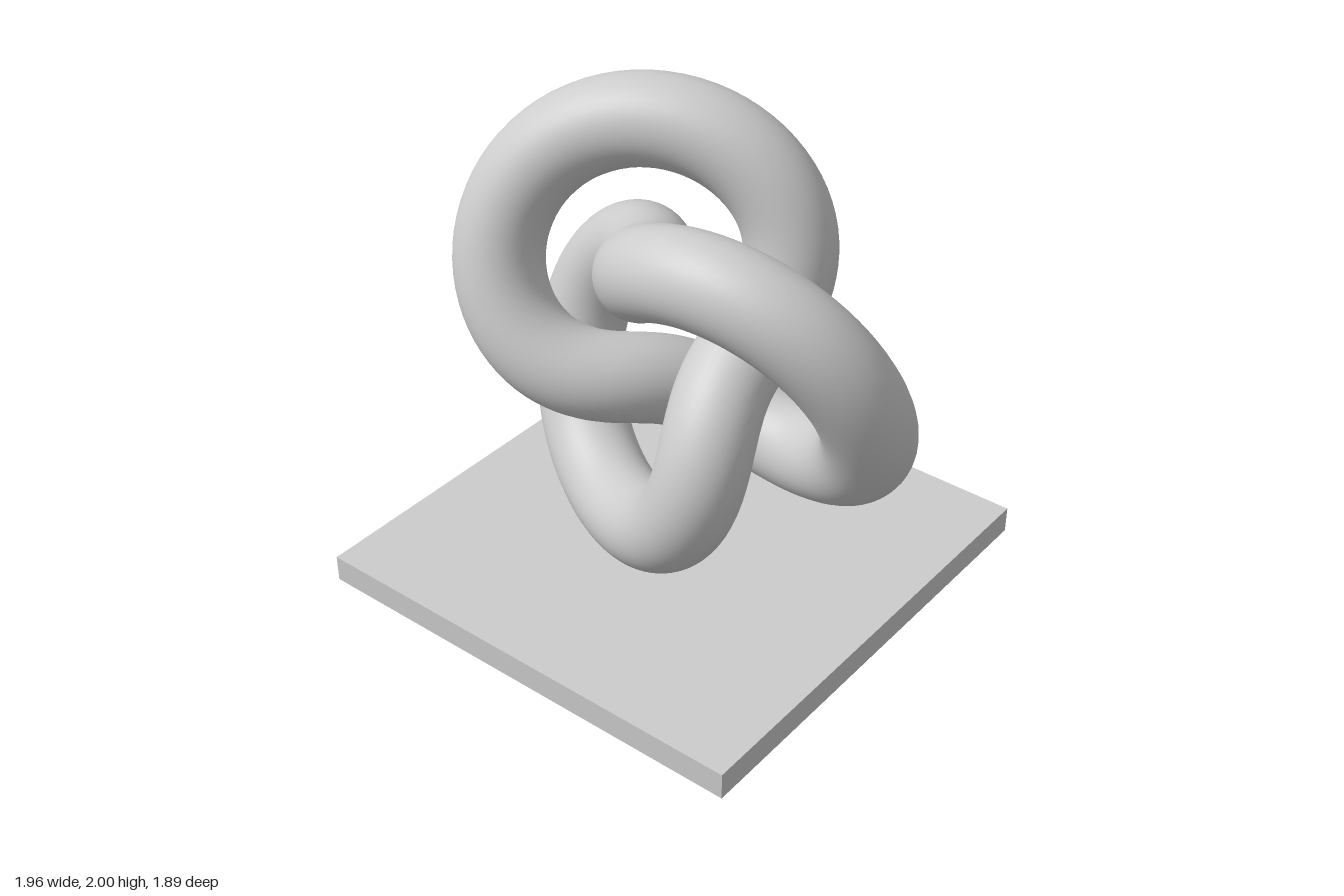
import * as THREE from 'three';

export function createModel() {
  const group = new THREE.Group();
  const grey = new THREE.MeshStandardMaterial({ color: 0xcccccc });
  grey.name = 'light grey';

  const centreX = -0.035;
  const baseSize = 1.895;
  const baseHeight = 0.11;

  // Square base slab
  const base = new THREE.Mesh(new THREE.BoxGeometry(baseSize, baseHeight, baseSize), grey);
  base.name = 'base';
  base.position.set(centreX, baseHeight / 2, 0);
  group.add(base);

  // Smooth trefoil knot, its lowest lobe sunk slightly into the base
  const knot = new THREE.Mesh(new THREE.TorusKnotGeometry(0.56, 0.175, 240, 40, 2, 3), grey);
  knot.name = 'knot';
  knot.position.set(centreX, 1.034, 0);
  group.add(knot);

  return group;
}
